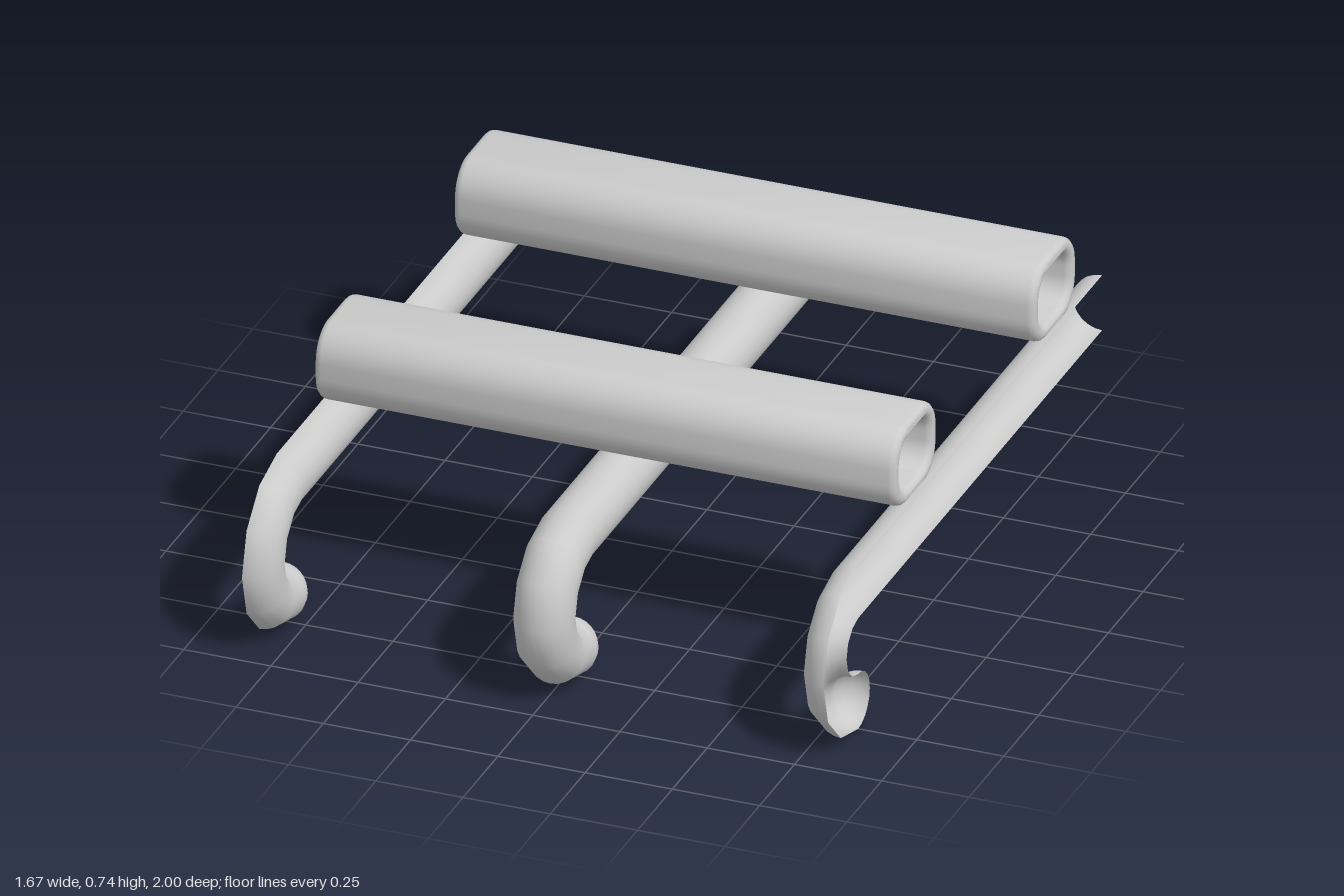
import * as THREE from 'three';
import { toCreasedNormals } from 'three/addons/utils/BufferGeometryUtils.js';

const R = 0.083;      // rail radius
const BEND = 0.167;   // hook bend radius
const HALF = 0.833;   // half of the overall width

// Rail swept from the back, round the hook, to a domed tip; from/to limit the section's angle.
function railGeometry(from, to, sides) {
  const rings = [{ z: -1, a: 0, b: 0 }];
  for (let i = 0; i <= 6; i++) rings.push({ z: 0.75, a: (Math.PI * i) / 6, b: 0 });
  for (let i = 1; i <= 5; i++) rings.push({ z: 0.75, a: Math.PI, b: (Math.PI / 2) * (i / 5) });

  const positions = [], normals = [], index = [];
  rings.forEach(({ z, a, b }, row) => {
    const up = new THREE.Vector3(0, Math.cos(a), Math.sin(a));
    const along = new THREE.Vector3(0, -Math.sin(a), Math.cos(a));
    const centre = new THREE.Vector3(0, 0.25, z).addScaledVector(up, BEND);
    for (let j = 0; j <= sides; j++) {
      const t = from + ((to - from) * j) / sides;
      const n = new THREE.Vector3(Math.cos(t) * Math.cos(b), 0, 0)
        .addScaledVector(up, Math.sin(t) * Math.cos(b))
        .addScaledVector(along, Math.sin(b));
      const p = centre.clone().addScaledVector(n, R);
      positions.push(p.x, p.y, p.z);
      normals.push(n.x, n.y, n.z);
      if (row > 0 && j > 0) {
        const d = row * (sides + 1) + j, c = d - 1;
        const q = d - sides - 1, p0 = q - 1;
        index.push(p0, q, c, q, d, c);
      }
    }
  });
  const geometry = new THREE.BufferGeometry();
  geometry.setAttribute('position', new THREE.Float32BufferAttribute(positions, 3));
  geometry.setAttribute('normal', new THREE.Float32BufferAttribute(normals, 3));
  geometry.setIndex(index);
  return geometry;
}

// Rounded rectangle outline centred on the origin
function roundedRect(path, w, h, r) {
  const x = w / 2 - r, y = h / 2 - r;
  path.absarc(x, y, r, 0, Math.PI / 2);
  path.absarc(-x, y, r, Math.PI / 2, Math.PI);
  path.absarc(-x, -y, r, Math.PI, Math.PI * 1.5);
  path.absarc(x, -y, r, Math.PI * 1.5, Math.PI * 2);
  path.closePath();
  return path;
}

// Hollow crossbar with softened ends, lying along x
function crossbarGeometry() {
  const bevel = 0.021;
  const shape = roundedRect(new THREE.Shape(), 0.31, 0.235, 0.095);
  shape.holes.push(roundedRect(new THREE.Path(), 0.22, 0.16, 0.065));
  const depth = 2 * (HALF - bevel);
  const geometry = new THREE.ExtrudeGeometry(shape, {
    depth, curveSegments: 5, bevelThickness: bevel, bevelSize: bevel,
    bevelOffset: -bevel, bevelSegments: 3,
  });
  geometry.translate(0, 0, -depth / 2);
  geometry.rotateY(Math.PI / 2);
  return toCreasedNormals(geometry, Math.PI / 4);
}

export function createModel() {
  const model = new THREE.Group();
  const material = new THREE.MeshStandardMaterial({ color: 0xcccccc, side: THREE.DoubleSide });
  const add = (name, geometry, x, y, z) => {
    const mesh = new THREE.Mesh(geometry, material);
    mesh.name = name;
    mesh.position.set(x, y, z);
    model.add(mesh);
    return mesh;
  };

  // Full round rail in the middle, closed at the back
  add('centreRail', railGeometry(0, Math.PI * 2, 24), 0, 0, 0);
  add('centreRailEnd', new THREE.CircleGeometry(R, 24), 0, 0.25 + BEND, -1).rotation.y = Math.PI;

  // Open half-round rails, cut flush at the two sides
  add('leftRail', railGeometry(Math.PI / 2, Math.PI * 1.5, 12), HALF, 0, 0);
  add('rightRail', railGeometry(-Math.PI / 2, Math.PI / 2, 12), -HALF, 0, 0);

  // Crossbars resting on the rails
  const bar = crossbarGeometry();
  add('frontCrossbar', bar, 0, 0.62, 0.333);
  add('backCrossbar', bar, 0, 0.62, -0.667);

  return model;
}
